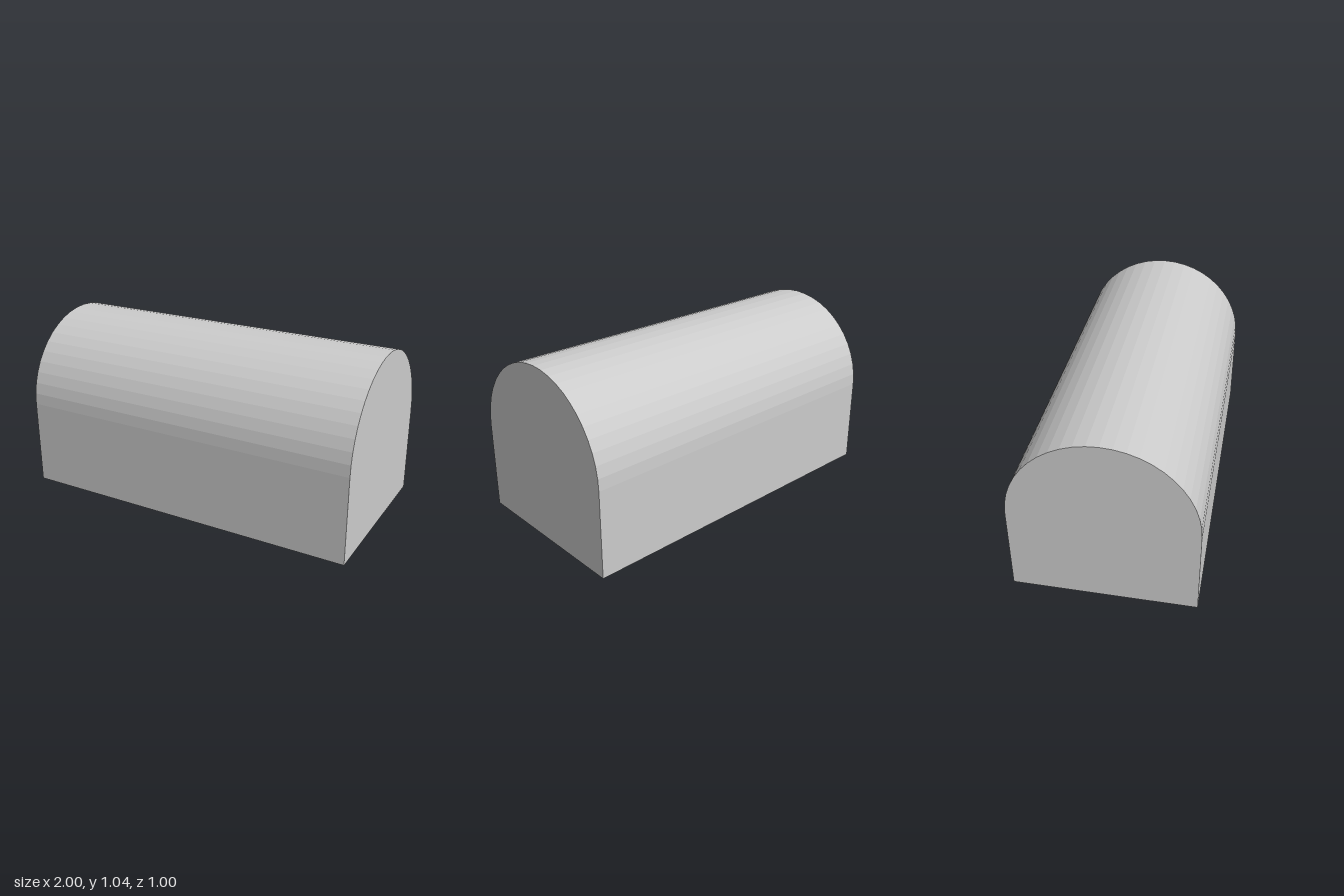
import * as THREE from 'three';

const LENGTH = 2, RADIUS = 0.5, PAD_HEIGHT = 0.04, WALL_HEIGHT = 0.5;

export function createModel() {
  const model = new THREE.Group();
  model.name = 'vaultedBlock';
  const material = new THREE.MeshStandardMaterial({ color: 0xcccccc, flatShading: true });

  // Body: upright walls closed by a half-round vault, extruded along x
  const profile = new THREE.Shape();
  profile.moveTo(-RADIUS, 0);
  profile.lineTo(RADIUS, 0);
  profile.lineTo(RADIUS, WALL_HEIGHT);
  profile.absarc(0, WALL_HEIGHT, RADIUS, 0, Math.PI, false);
  profile.closePath();
  const bodyGeometry = new THREE.ExtrudeGeometry(profile, {
    depth: LENGTH, curveSegments: 12, bevelEnabled: false, // arcs get two facets per segment
  });
  bodyGeometry.translate(0, PAD_HEIGHT, -LENGTH / 2).rotateY(Math.PI / 2);
  const body = new THREE.Mesh(bodyGeometry, material);
  body.name = 'vaultedBody';
  model.add(body);

  // Two square foot pads under the body
  const padGeometry = new THREE.BoxGeometry(0.8, PAD_HEIGHT, 0.8);
  for (const side of [-1, 1]) {
    const pad = new THREE.Mesh(padGeometry, material);
    pad.name = side > 0 ? 'leftFootPad' : 'rightFootPad';
    pad.position.set(side * 0.5, PAD_HEIGHT / 2, 0);
    model.add(pad);
  }

  return model;
}
